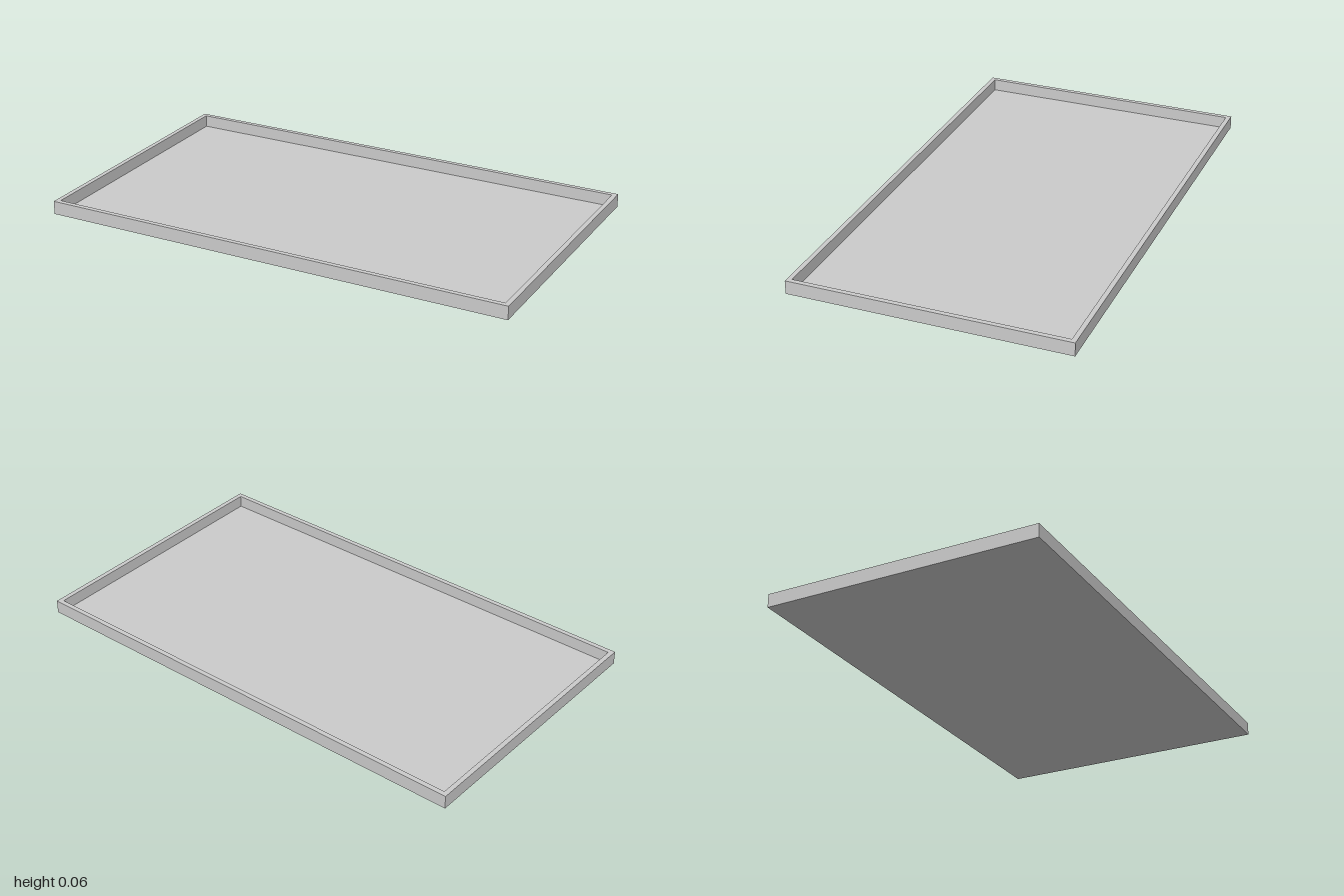
import * as THREE from 'three';

const WIDTH = 2, DEPTH = 1.152, HEIGHT = 0.056, WALL = 0.02, FLOOR = 0.005;

export function createModel() {
  const group = new THREE.Group();
  group.name = 'tray';
  const material = new THREE.MeshStandardMaterial({ color: 0xcccccc });

  // Outline of a centred rectangle
  const rectangle = (Type, w, d) => new Type([
    new THREE.Vector2(-w / 2, -d / 2), new THREE.Vector2(w / 2, -d / 2),
    new THREE.Vector2(w / 2, d / 2), new THREE.Vector2(-w / 2, d / 2),
  ]);
  const innerW = WIDTH - 2 * WALL, innerD = DEPTH - 2 * WALL;

  // Raised rim: a rectangular frame standing on the ground
  const frame = rectangle(THREE.Shape, WIDTH, DEPTH);
  frame.holes.push(rectangle(THREE.Path, innerW, innerD));
  const rimGeometry = new THREE.ExtrudeGeometry(frame, { depth: HEIGHT, bevelEnabled: false });
  rimGeometry.rotateX(-Math.PI / 2);
  const rim = new THREE.Mesh(rimGeometry, material);
  rim.name = 'rim';
  group.add(rim);

  // Thin floor panel set inside the rim
  const floor = new THREE.Mesh(new THREE.BoxGeometry(innerW, FLOOR, innerD), material);
  floor.name = 'floorPanel';
  floor.position.y = FLOOR / 2;
  group.add(floor);

  return group;
}
